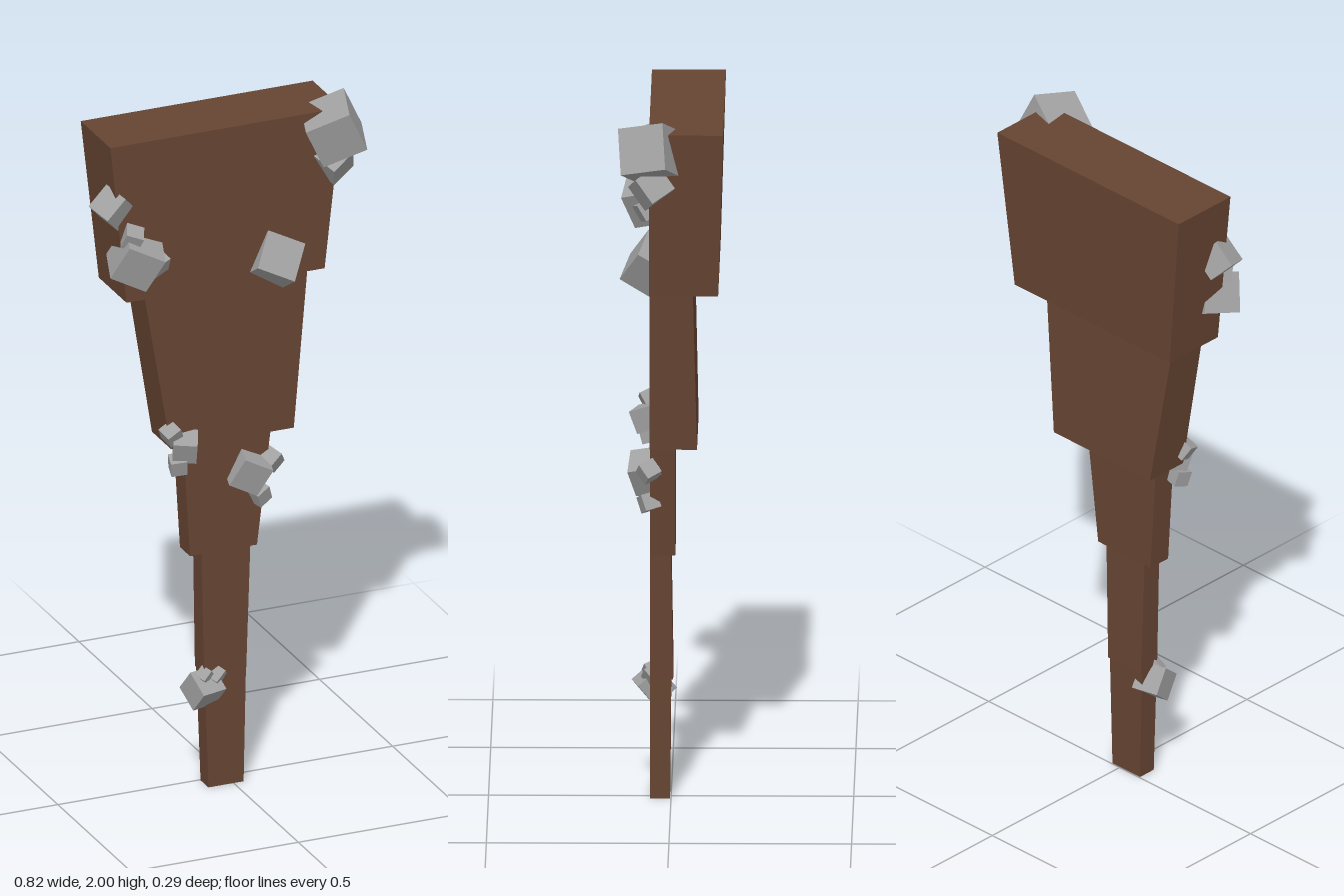
import * as THREE from 'three';

// Box tapering from a bottom rectangle to a top rectangle, flush at the front plane
function taperedBlock(y0, y1, bottom, top, front) {
  const geo = new THREE.BoxGeometry(1, 1, 1);
  const p = geo.attributes.position;
  for (let i = 0; i < p.count; i++) {
    const up = p.getY(i) > 0;
    const [left, right, back] = up ? top : bottom;
    p.setXYZ(i, p.getX(i) > 0 ? right : left, up ? y1 : y0, p.getZ(i) > 0 ? front : back);
  }
  geo.computeVertexNormals();
  return geo;
}

export function createModel() {
  const model = new THREE.Group();
  const wood = new THREE.MeshStandardMaterial({ color: 0x664432 });
  wood.name = 'brown wood';
  const stone = new THREE.MeshStandardMaterial({ color: 0xa0a0a0 });
  stone.name = 'grey stone';

  // Club body, stepped sections: y0, y1, bottom [xMin, xMax, zBack], top [xMin, xMax, zBack]
  const sections = [
    ['handleEnd', 0, 0.34, [-0.075, 0.03, 0.003], [-0.087, 0.037, 0.0]],
    ['handleGrip', 0.34, 0.7, [-0.088, 0.038, -0.006], [-0.096, 0.05, 0.0]],
    ['lowerShaft', 0.7, 1.03, [-0.13, 0.07, -0.012], [-0.15, 0.11, -0.012]],
    ['upperShaft', 1.03, 1.49, [-0.187, 0.18, -0.073], [-0.265, 0.22, -0.062]],
    ['clubHead', 1.49, 1.96, [-0.32, 0.272, -0.132], [-0.368, 0.325, -0.146]],
  ];
  for (const [name, y0, y1, bottom, top] of sections) {
    const mesh = new THREE.Mesh(taperedBlock(y0, y1, bottom, top, 0.057), wood);
    mesh.name = name;
    model.add(mesh);
  }

  // Stones embedded in the wood: position, size, rotation
  const stones = [
    // top corner
    [0.3, 1.904, 0.055, 0.13, 0.21, -0.28, 0.47],
    [0.3, 1.805, 0.05, 0.08, 0.5, 0.5, 0.3],
    // right edge of the head
    [-0.35, 1.768, 0.03, 0.078, 0.3, 0.35, 0.7],
    [-0.31, 1.69, 0.075, 0.05, 0.4, -0.4, -0.2],
    [-0.293, 1.62, 0.06, 0.112, 0.25, -0.3, -0.4],
    [-0.235, 1.6, 0.07, 0.05, 0.5, 0.4, 0.1],
    // lower head
    [0.125, 1.54, 0.052, 0.112, -0.55, 0, -0.5],
    // shaft, right side
    [-0.148, 1.035, 0.065, 0.066, 0.4, -0.4, 0.1],
    [-0.188, 1.077, 0.06, 0.045, 0.4, 0.3, 0.4],
    [-0.168, 0.982, 0.06, 0.045, 0.3, -0.2, 0.15],
    // shaft, left side
    [0.042, 0.932, 0.06, 0.09, 0.2, -0.2, -0.45],
    [0.112, 0.95, 0.06, 0.046, 0.4, 0.5, 0.5],
    [0.075, 0.853, 0.06, 0.046, 0.2, 0.4, 0.35],
    // handle
    [-0.087, 0.295, 0.047, 0.078, 0.7, 0.2, -0.15],
    [-0.05, 0.33, 0.05, 0.042, 0.5, 0.6, 0.5],
    [-0.085, 0.335, 0.055, 0.035, 0.3, 0.5, 0.6],
  ];
  const cube = new THREE.BoxGeometry(1, 1, 1);
  const cluster = new THREE.Group();
  cluster.name = 'stones';
  stones.forEach(([x, y, z, size, rx, ry, rz], i) => {
    const mesh = new THREE.Mesh(cube, stone);
    mesh.name = `stone${i + 1}`;
    mesh.position.set(x, y, z);
    mesh.rotation.set(rx, ry, rz);
    mesh.scale.setScalar(size);
    cluster.add(mesh);
  });
  model.add(cluster);
  return model;
}
